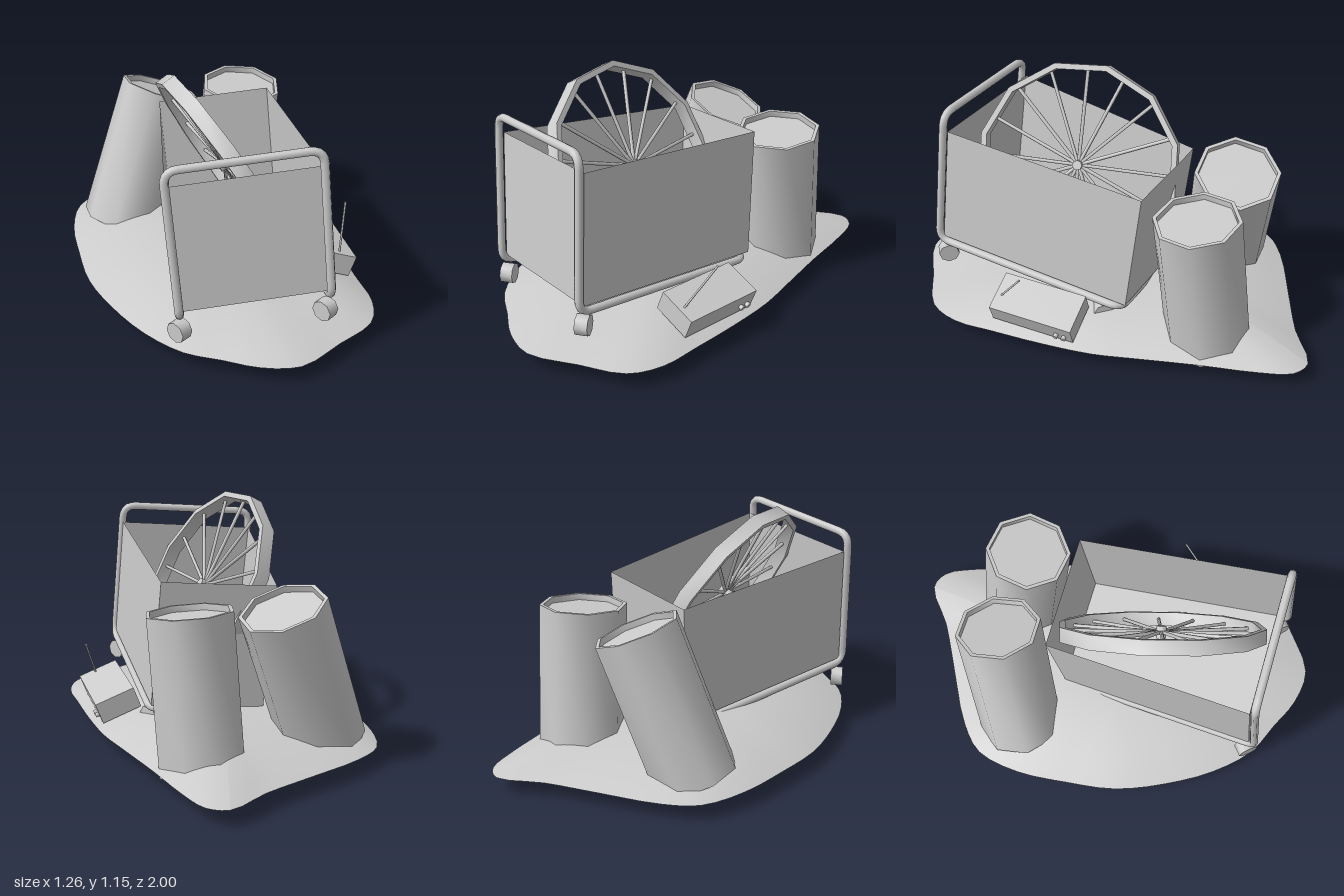
import * as THREE from 'three';
import { toCreasedNormals } from 'three/addons/utils/BufferGeometryUtils.js';

const V = (x, y, z) => new THREE.Vector3(x, y, z);
const grey = new THREE.MeshStandardMaterial({ color: 0xcccccc });
const thin = new THREE.MeshStandardMaterial({ color: 0xcccccc, side: THREE.DoubleSide });

function mesh(name, geometry, parent, material = grey) {
  const m = new THREE.Mesh(geometry, material);
  m.name = name;
  parent.add(m);
  return m;
}

function part(name, parent, position) {
  const g = new THREE.Group();
  g.name = name;
  g.position.copy(position);
  parent.add(g);
  return g;
}

// Turn an object so its own x and z axes follow the given directions
function orient(obj, x, z) {
  z.normalize();
  const y = z.clone().cross(x).normalize();
  obj.quaternion.setFromRotationMatrix(new THREE.Matrix4().makeBasis(y.clone().cross(z), y, z));
}

// Straight rod between two points
function rod(name, a, b, r, parent, sides = 6) {
  const d = b.clone().sub(a);
  const m = mesh(name, new THREE.CylinderGeometry(r, r, d.length(), sides), parent);
  m.position.copy(a).addScaledVector(d, 0.5);
  m.quaternion.setFromUnitVectors(V(0, 1, 0), d.normalize());
  return m;
}

// Closed path through corners, each rounded off
function roundedLoop(corners, r) {
  const path = new THREE.CurvePath();
  const n = corners.length;
  const toward = (a, b) => a.clone().addScaledVector(b.clone().sub(a).normalize(), r);
  corners.forEach((c, i) => {
    const prev = corners[(i + n - 1) % n], next = corners[(i + 1) % n];
    path.add(new THREE.QuadraticBezierCurve3(toward(c, prev), c, toward(c, next)));
    path.add(new THREE.LineCurve3(toward(c, next), toward(next, c)));
  });
  return path;
}

// Domed patch of ground: one outline shrunk in rings toward the middle
function addMound(parent) {
  const outline = [
    [0.46, -1], [0.54, -0.94], [0.57, -0.78], [0.585, -0.5], [0.61, -0.2], [0.625, 0], [0.61, 0.25],
    [0.58, 0.5], [0.55, 0.7], [0.46, 0.84], [0.25, 0.92], [0.02, 0.995], [-0.15, 0.93], [-0.28, 0.82],
    [-0.42, 0.7], [-0.53, 0.5], [-0.6, 0.25], [-0.63, 0], [-0.6, -0.25], [-0.55, -0.5], [-0.45, -0.7],
    [-0.3, -0.785], [0, -0.86], [0.25, -0.92],
  ].map(([x, z]) => V(x, 0, z));
  const rim = new THREE.CatmullRomCurve3(outline, true).getPoints(72);
  const rings = 12, cols = rim.length, pos = [], index = [];
  for (let i = 0; i <= rings; i++) {
    const t = i / rings;
    for (const p of rim) pos.push(p.x * t, 0.08 + 0.13 * (1 - t ** 2.2), p.z * t);
  }
  for (let i = 0; i < rings; i++) {
    for (let j = 0; j < cols - 1; j++) {
      const a = i * cols + j, b = a + cols;
      index.push(a, b + 1, b);
      if (i > 0) index.push(a, a + 1, b + 1);
    }
  }
  const g = new THREE.BufferGeometry();
  g.setAttribute('position', new THREE.Float32BufferAttribute(pos, 3));
  g.setIndex(index);
  g.computeVertexNormals();
  mesh('mound', g, parent, thin);
}

// Eight-sided drum with a raised rim around its lid
function addBarrel(name, bottom, top, turn, parent) {
  const axis = top.clone().sub(bottom), h = axis.length(), r = 0.205;
  const profile = [[0, 0], [r, 0], [r, h], [r - 0.018, h], [r - 0.018, h - 0.03], [0, h - 0.03]];
  const lathe = new THREE.LatheGeometry(profile.map(([x, y]) => new THREE.Vector2(x, y)), 8);
  lathe.rotateY(turn);
  const m = mesh(name, toCreasedNormals(lathe, 1), parent);
  m.position.copy(bottom);
  m.quaternion.setFromUnitVectors(V(0, 1, 0), axis.normalize());
}

// Cart: tapered open basket, tube frame and castors, in its own tilted frame
function addCart(parent) {
  const cart = part('cart', parent, V(-0.0975, 0.305, 0.755));
  orient(cart, V(0.955, 0.08, 0.28), V(-0.273, 0.088, 0.958));

  const depth = 0.99, front = 0.34, back = 0.27;
  const basket = new THREE.BoxGeometry(2 * front, 0.61, depth).translate(0, 0.305, -depth / 2);
  const p = basket.attributes.position;
  for (let i = 0; i < p.count; i++) if (p.getZ(i) < -0.5) p.setX(i, p.getX(i) * back / front);
  basket.setIndex([...basket.index.array].filter((_, i) => i < 12 || i >= 18)); // no top
  basket.clearGroups();
  basket.computeVertexNormals();
  mesh('basket', basket, cart, thin);

  const path = roundedLoop([
    V(-front, 0.695, 0.025), V(front, 0.695, 0.025), V(front, -0.025, 0.025),
    V(back, -0.025, -0.97), V(-back, -0.025, -0.97), V(-front, -0.025, 0.025),
  ], 0.065);
  mesh('frame', new THREE.TubeGeometry(path, 220, 0.02, 8, true), cart);

  for (const [w, z] of [[0.33, -0.015], [0.26, -0.87]]) {
    for (const s of [-1, 1]) {
      const wheel = new THREE.CylinderGeometry(0.05, 0.05, 0.06, 8).rotateZ(Math.PI / 2).rotateY(0.7);
      mesh('castor', toCreasedNormals(wheel, 1), cart).position.set(s * w - 0.015, -0.1, z);
    }
  }
}

// Spoked wheel leaning in the basket
function addWheel(parent) {
  const wheel = part('spokedWheel', parent, V(-0.005, 0.7, 0.21));
  wheel.quaternion.setFromUnitVectors(V(0, 1, 0), V(Math.cos(0.5), Math.sin(0.5), 0));
  const R = 0.5, r = 0.472, w = 0.035;
  const profile = [[r, -w], [R, -w], [R, w], [r, w], [r, -w]].map(([x, y]) => new THREE.Vector2(x, y));
  const rim = new THREE.LatheGeometry(profile, 12).rotateY(Math.PI / 12 + 0.06);
  mesh('wheelRim', toCreasedNormals(rim, 1), wheel);
  mesh('wheelHub', new THREE.CylinderGeometry(0.024, 0.024, 0.06, 8), wheel);
  for (let i = 0; i < 16; i++) {
    const a = i * Math.PI / 8;
    rod('spoke', V(0, 0, 0), V(Math.cos(a), 0, Math.sin(a)).multiplyScalar(0.475), 0.009, wheel);
  }
}

// Small box radio with aerial and two knobs
function addRadio(parent) {
  const radio = part('radio', parent, V(0.485, 0.193, 0.287));
  orient(radio, V(0.93, -0.35, 0.15), V(-0.16, 0.03, 0.98));
  mesh('radioCase', new THREE.BoxGeometry(0.2, 0.105, 0.42), radio);
  for (const z of [-0.17, -0.13]) {
    const knob = new THREE.CylinderGeometry(0.012, 0.012, 0.02, 8).rotateZ(Math.PI / 2);
    mesh('knob', knob, radio).position.set(0.108, -0.015, z);
  }
  rod('aerial', V(0.485, 0.23, 0.475), V(0.58, 0.43, 0.345), 0.005, parent);
}

export function createModel() {
  const model = new THREE.Group();
  model.name = 'junkPile';
  addMound(model);
  addCart(model);
  addWheel(model);
  addBarrel('uprightBarrel', V(0.355, 0.05, -0.51), V(0.375, 0.765, -0.435), 0, model);
  addBarrel('leaningBarrel', V(-0.285, 0.075, -0.49), V(-0.02, 0.765, -0.56), 0.23, model);
  addRadio(model);
  return model;
}
